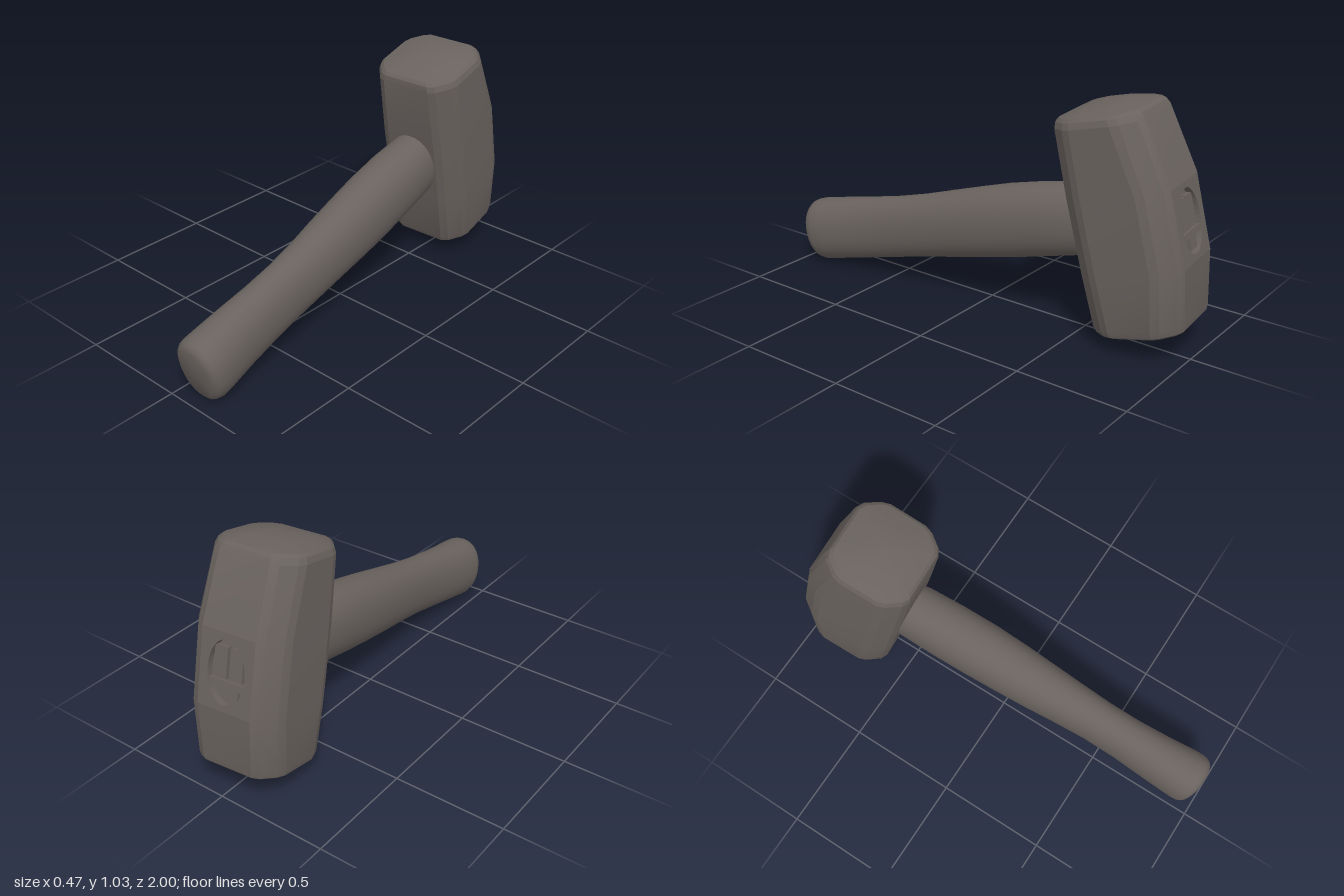
import * as THREE from 'three';
import { toCreasedNormals } from 'three/addons/utils/BufferGeometryUtils.js';

const V = (x, y, z) => new THREE.Vector3(x, y, z);

// Skin a list of rings (counter-clockwise about the loft direction) and close both ends with a centre point.
function loft(rings, startPoint, endPoint, crease, skip = () => false) {
  const n = rings[0].length;
  const points = [...rings.flat(), startPoint, endPoint];
  const s = points.length - 2, e = s + 1, last = (rings.length - 1) * n;
  const index = [];
  for (let j = 0; j < n; j++) {
    const k = (j + 1) % n;
    index.push(s, k, j, e, last + j, last + k);
    for (let i = 0; i < rings.length - 1; i++) {
      if (skip(i, j)) continue;
      const a = i * n + j, b = i * n + k;
      index.push(a, b, b + n, a, b + n, a + n);
    }
  }
  const g = new THREE.BufferGeometry().setFromPoints(points);
  g.setIndex(index);
  return toCreasedNormals(g, crease);
}

// Octagonal head section with softened corners
function headRing([y, scale, w, front, back]) {
  const c = 0.07, d = 0.09, soft = 0.02;
  const corners = [
    [w - c, front], [w, front - d], [w, d - back], [w - c, -back],
    [c - w, -back], [-w, d - back], [-w, front - d], [c - w, front],
  ].map(([x, z]) => V(x, 0, z));
  const ring = [];
  corners.forEach((p, i) => {
    for (const q of [corners[(i + 7) % 8], corners[(i + 1) % 8]]) {
      const r = p.clone().add(q.clone().sub(p).setLength(soft)).multiplyScalar(scale);
      ring.push(r.setY(y));
    }
  });
  return ring;
}

export function createModel() {
  const model = new THREE.Group();
  const material = new THREE.MeshStandardMaterial({ color: 0x69625e });
  material.name = 'warm grey';
  const add = (parent, name, geometry, x = 0, y = 0, z = 0) => {
    const mesh = new THREE.Mesh(geometry, material);
    mesh.name = name;
    mesh.position.set(x, y, z);
    parent.add(mesh);
    return mesh;
  };

  // Head: local y runs between the striking faces, local z points to the handle
  const head = new THREE.Group();
  head.name = 'head';
  const up = V(0.036, 0.973, 0.23).normalize();
  const side = up.clone().cross(V(0.07, -0.23, 0.973)).normalize();
  const forward = side.clone().cross(up);
  head.quaternion.setFromRotationMatrix(new THREE.Matrix4().makeBasis(side, up, forward));
  head.position.set(-0.007, 0.55, -0.69);
  model.add(head);

  const backZ = 0.262, eyeY = -0.03, bandHalf = 0.16;
  const rows = [ // height, scale, half width, front depth, back depth
    [-0.478, 0.55, 0.207, 0.196, 0.212],
    [-0.46, 0.9, 0.207, 0.196, 0.212],
    [-0.45, 0.965, 0.207, 0.196, 0.212],
    [-0.425, 1, 0.207, 0.196, 0.214],
    [eyeY - bandHalf, 1, 0.215, 0.198, backZ],
    [eyeY + bandHalf, 1, 0.215, 0.198, backZ],
    [0.415, 1, 0.207, 0.194, 0.204],
    [0.44, 0.965, 0.205, 0.194, 0.2],
    [0.452, 0.9, 0.205, 0.194, 0.2],
    [0.473, 0.55, 0.205, 0.194, 0.2],
  ];
  add(head, 'headBody', loft(rows.map(headRing), V(0, -0.49, 0), V(0, 0.486, 0), 0.3,
    (i, j) => i === 4 && j === 7));

  // Back panel pierced by the oval eye
  const half = 0.125;
  const panel = new THREE.Shape([[-half, -bandHalf], [half, -bandHalf], [half, bandHalf], [-half, bandHalf]]
    .map(([x, y]) => new THREE.Vector2(x, y)));
  panel.holes.push(new THREE.Path().absellipse(0, 0, 0.088, 0.135, 0, Math.PI * 2, true));
  add(head, 'eyePanel', new THREE.ExtrudeGeometry(panel, { depth: 0.04, bevelEnabled: false, curveSegments: 24 }),
    0, eyeY, -backZ);

  // Split handle end and wedge seated inside the eye
  const floor = new THREE.CircleGeometry(1, 32).scale(0.1, 0.145, 1).rotateY(Math.PI);
  add(head, 'eyeFloor', floor, 0, eyeY, -0.232);
  const blocks = [ // name, width, height, x, y, depth
    ['splitWoodLeft', 0.06, 0.13, 0.034, 0.035, 0.022],
    ['splitWoodRight', 0.06, 0.13, -0.036, 0.035, 0.018],
    ['crossWedge', 0.16, 0.028, 0, -0.05, 0.026],
    ['lowerWood', 0.06, 0.05, -0.02, -0.096, 0.015],
  ];
  for (const [name, w, h, x, y, d] of blocks) {
    add(head, name, new THREE.BoxGeometry(w, h, d), x, eyeY + y, -0.232 - d / 2);
  }

  // Handle: oval sections, slightly waisted, running from the eye to the flared butt
  const stations = [ // x, y, z, half width, half height
    [-0.02, 0.56, -0.75, 0.09, 0.12],
    [0.012, 0.494, -0.48, 0.12, 0.153],
    [0.025, 0.46, -0.32, 0.125, 0.16],
    [0.04, 0.418, -0.15, 0.125, 0.162],
    [0.052, 0.378, 0, 0.12, 0.158],
    [0.063, 0.338, 0.15, 0.112, 0.152],
    [0.076, 0.298, 0.3, 0.102, 0.146],
    [0.087, 0.26, 0.45, 0.094, 0.144],
    [0.096, 0.224, 0.6, 0.095, 0.146],
    [0.105, 0.19, 0.75, 0.105, 0.148],
    [0.115, 0.162, 0.87, 0.115, 0.15],
    [0.118, 0.15, 0.92, 0.117, 0.15],
    [0.118, 0.145, 0.945, 0.113, 0.144],
    [0.118, 0.141, 0.96, 0.104, 0.134],
    [0.118, 0.138, 0.969, 0.088, 0.116],
  ];
  const sides = 32;
  const rings = stations.map(([x, y, z, rx, ry]) => Array.from({ length: sides }, (_, i) => {
    const a = i / sides * Math.PI * 2;
    const round = t => Math.sign(t) * Math.abs(t) ** 0.92;
    const h = ry * round(Math.sin(a));
    return V(x + rx * round(Math.cos(a)), y + h * 0.973, z + h * 0.23);
  }));
  add(model, 'handle', loft(rings, V(-0.02, 0.56, -0.75), V(0.118, 0.137, 0.973), 0.7));

  return model;
}
